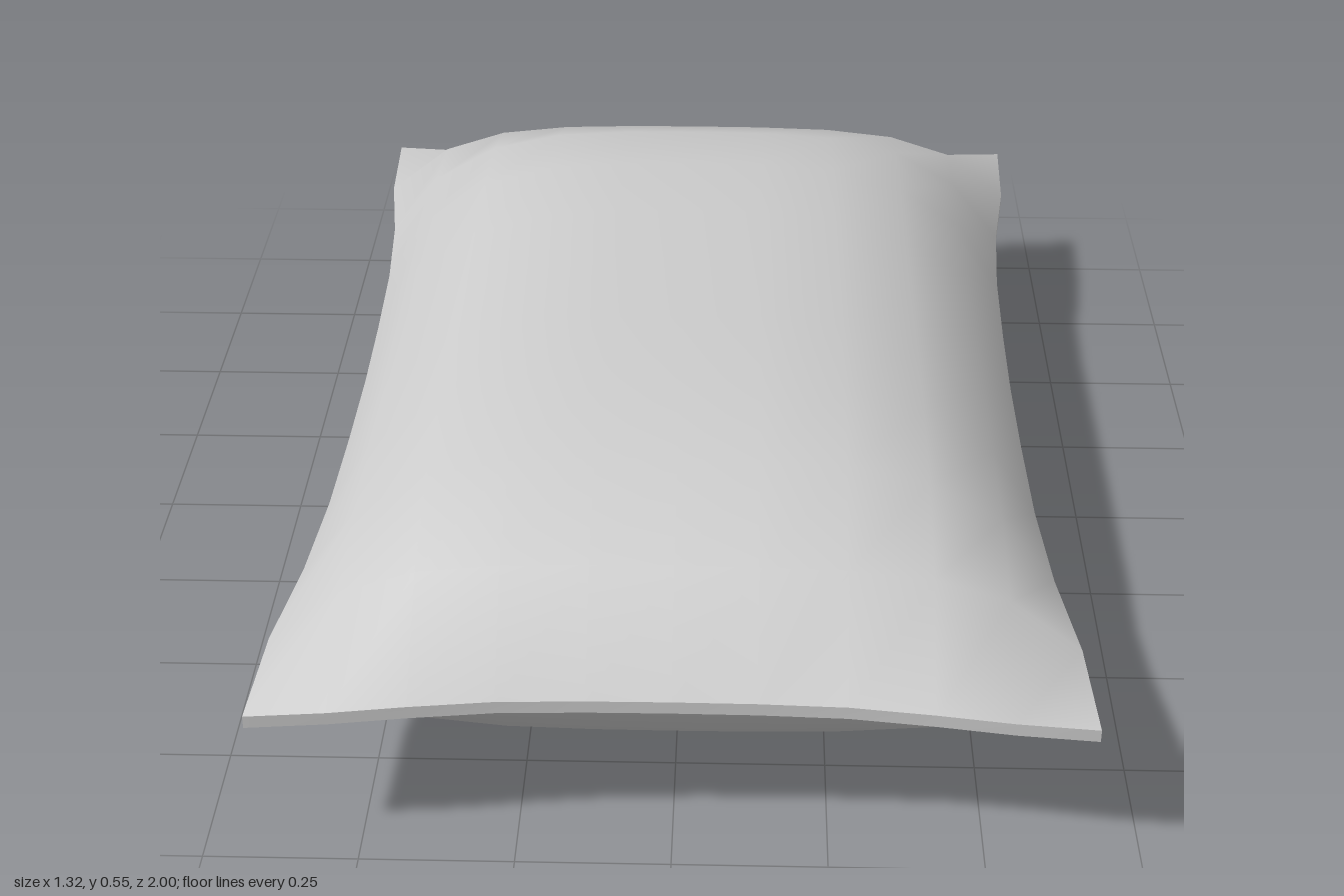
import * as THREE from 'three';

const SEG = 10;
const MID = 0.275; // height of the seam
const RIM = 0.011; // half thickness of the seam

// Values at 0, 0.2 ... 1 from the middle to the edge
const colX = [0, 0.134, 0.275, 0.41, 0.532, 0.66];
const rowZ = [0, 0.2, 0.41, 0.61, 0.8, 1];
const bulgeX = [1, 0.993, 0.95, 0.8, 0.48, 0];
const bulgeZ = [1, 0.998, 0.985, 0.88, 0.585, 0];
// The sides draw inwards between the corners
const sideX = [0.605, 0.607, 0.612, 0.626, 0.652, 0.66];
const endZ = [0.948, 0.949, 0.954, 0.97, 0.988, 1];

function pillowGeometry() {
  const geo = new THREE.BoxGeometry(2, 2, 2, SEG, 1, SEG);
  const pos = geo.attributes.position;
  for (let n = 0; n < pos.count; n++) {
    const u = pos.getX(n), v = pos.getZ(n);
    const i = Math.round(Math.abs(u) * 5), j = Math.round(Math.abs(v) * 5);
    const x = i === 5 ? sideX[j] : colX[i];
    const z = j === 5 ? endZ[i] : rowZ[j];
    // Blend the two bulges so that the corners stay full
    const a = bulgeX[i], b = bulgeZ[j];
    const swell = a * b > 0 ? (a * b) / (a + b - a * b) : 0;
    const h = RIM + (MID - RIM) * swell;
    pos.setXYZ(n, Math.sign(u) * x, MID + Math.sign(pos.getY(n)) * h, Math.sign(v) * z);
  }
  geo.computeVertexNormals();
  return geo;
}

export function createModel() {
  const group = new THREE.Group();
  group.name = 'pillow';
  const cushion = new THREE.Mesh(
    pillowGeometry(),
    new THREE.MeshStandardMaterial({ color: 0xcccccc })
  );
  cushion.name = 'cushion';
  group.add(cushion);
  return group;
}
